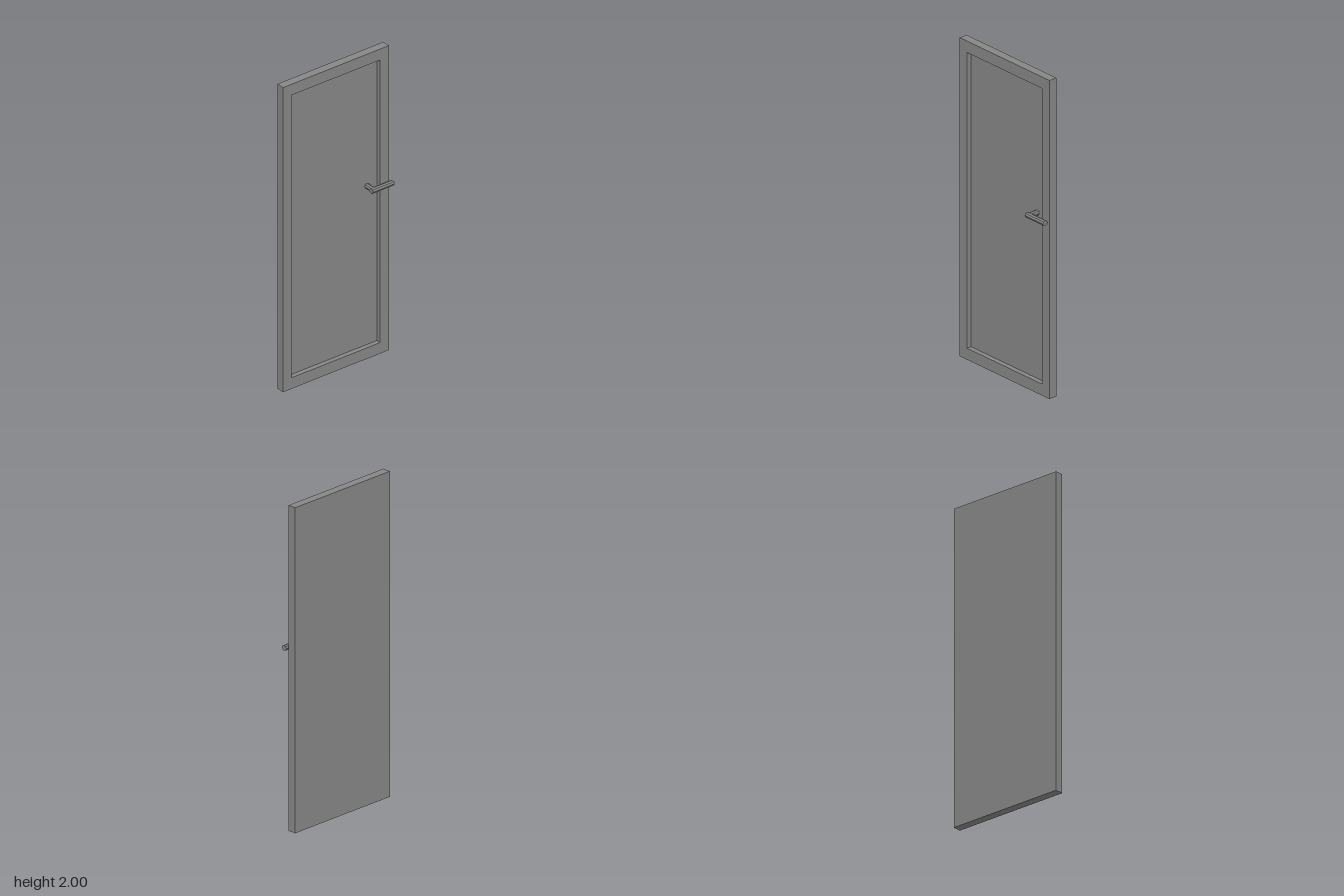
import * as THREE from 'three';

const material = new THREE.MeshStandardMaterial({ color: 0x868686, flatShading: true });

const LEFT = -0.3855, RIGHT = 0.3835, HEIGHT = 2;
const BACK = -0.0515, FRONT = 0.0015, RECESS = -0.029;
const PANEL = { left: -0.323, right: 0.319, bottom: 0.072, top: 1.928 };

function rectangle(Type, x0, y0, x1, y1) {
  const r = new Type();
  r.moveTo(x0, y0);
  r.lineTo(x1, y0);
  r.lineTo(x1, y1);
  r.lineTo(x0, y1);
  r.closePath();
  return r;
}

function add(parent, name, geometry) {
  const mesh = new THREE.Mesh(geometry, material);
  mesh.name = name;
  parent.add(mesh);
  return mesh;
}

// Eight-sided rod with its corners on the axes
function rod(parent, name, radius, length) {
  return add(parent, name, new THREE.CylinderGeometry(radius, radius, length, 8));
}

export function createModel() {
  const door = new THREE.Group();
  door.name = 'door';

  // Raised border around the sunken front panel, full door depth
  const { left, right, bottom, top } = PANEL;
  const outline = rectangle(THREE.Shape, LEFT, 0, RIGHT, HEIGHT);
  outline.holes.push(rectangle(THREE.Path, left, bottom, right, top));
  const frame = add(door, 'doorFrame',
    new THREE.ExtrudeGeometry(outline, { depth: FRONT - BACK, bevelEnabled: false }));
  frame.position.z = BACK;

  // Sunken panel, flush with the frame at the back
  const panel = add(door, 'doorPanel',
    new THREE.BoxGeometry(right - left, top - bottom, RECESS - BACK));
  panel.position.set((left + right) / 2, (bottom + top) / 2, (RECESS + BACK) / 2);

  // Lever handle: stem out of the panel and a horizontal grip
  const handle = new THREE.Group();
  handle.name = 'handle';
  handle.position.set(0.247, 1.114, 0);
  door.add(handle);

  const stem = rod(handle, 'handleStem', 0.0165, 0.064);
  stem.rotation.x = Math.PI / 2;
  stem.position.z = 0.0025;

  const grip = rod(handle, 'handleGrip', 0.017, 0.157);
  grip.rotation.z = Math.PI / 2;
  grip.position.set(0.06, 0, 0.0345);

  return door;
}
